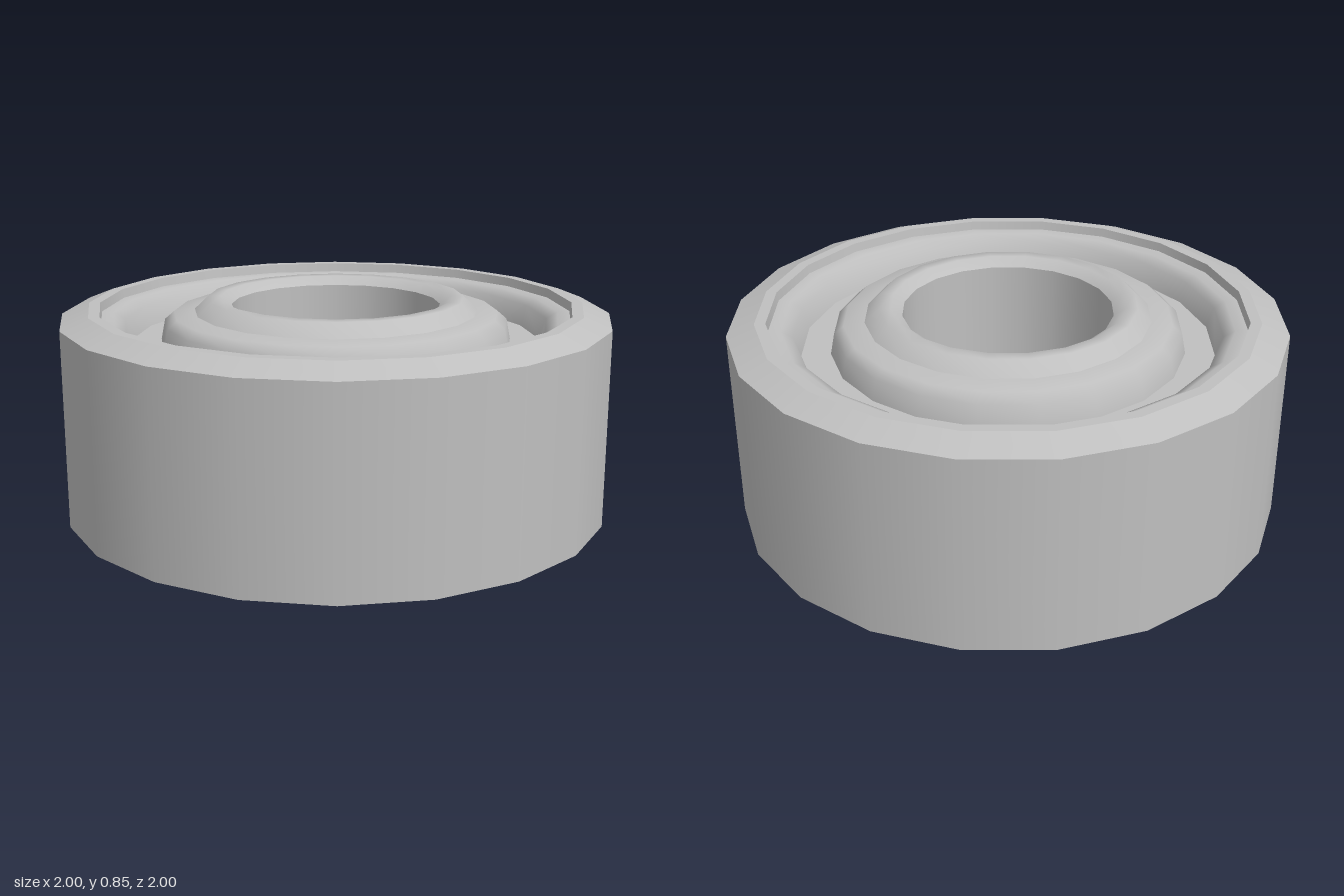
import * as THREE from 'three';

const HEIGHT = 0.845;
const SIDES = 20;

export function createModel() {
  const model = new THREE.Group();
  model.name = 'ballBearing';
  const steel = new THREE.MeshStandardMaterial({ color: 0xbfbfbf });
  steel.name = 'steel';

  // One smooth band of revolution; separate bands keep the edges between them sharp
  const band = (name, parent, points) => {
    const profile = points.map(([r, y]) => new THREE.Vector2(r, y));
    const mesh = new THREE.Mesh(new THREE.LatheGeometry(profile, SIDES), steel);
    mesh.name = name;
    parent.add(mesh);
  };

  // The same band on the upper and lower face
  const bothFaces = (name, parent, points) => {
    band(name + 'Top', parent, points);
    band(name + 'Bottom', parent, points.map(([r, y]) => [r, HEIGHT - y]).reverse());
  };

  const part = (name) => {
    const group = new THREE.Group();
    group.name = name;
    model.add(group);
    return group;
  };

  // Outer ring: wall, chamfer, rim, small step and rounded inner shoulder
  const outer = part('outerRing');
  band('outerWall', outer, [[1, 0.065], [1, 0.78]]);
  bothFaces('outerChamfer', outer, [[1, 0.78], [0.9, 0.82]]);
  bothFaces('outerRim', outer, [[0.9, 0.82], [0.86, 0.82]]);
  bothFaces('outerStep', outer, [[0.86, 0.82], [0.855, 0.787]]);
  bothFaces('outerShoulder', outer, [[0.855, 0.787], [0.81, 0.785], [0.77, 0.76], [0.745, 0.685]]);

  // Recessed shield between the rings
  bothFaces('shield', part('shields'), [[0.745, 0.685], [0.64, 0.685]]);

  // Inner ring: rounded shoulder, raised collar and bore
  const inner = part('innerRing');
  bothFaces('innerShoulder', inner, [[0.64, 0.685], [0.625, 0.76], [0.59, 0.79], [0.515, 0.798]]);
  bothFaces('innerCollar', inner, [[0.515, 0.798], [0.465, 0.845], [0.42, 0.845], [0.38, 0.815]]);
  band('bore', inner, [[0.38, 0.815], [0.38, HEIGHT - 0.815]]);

  return model;
}
